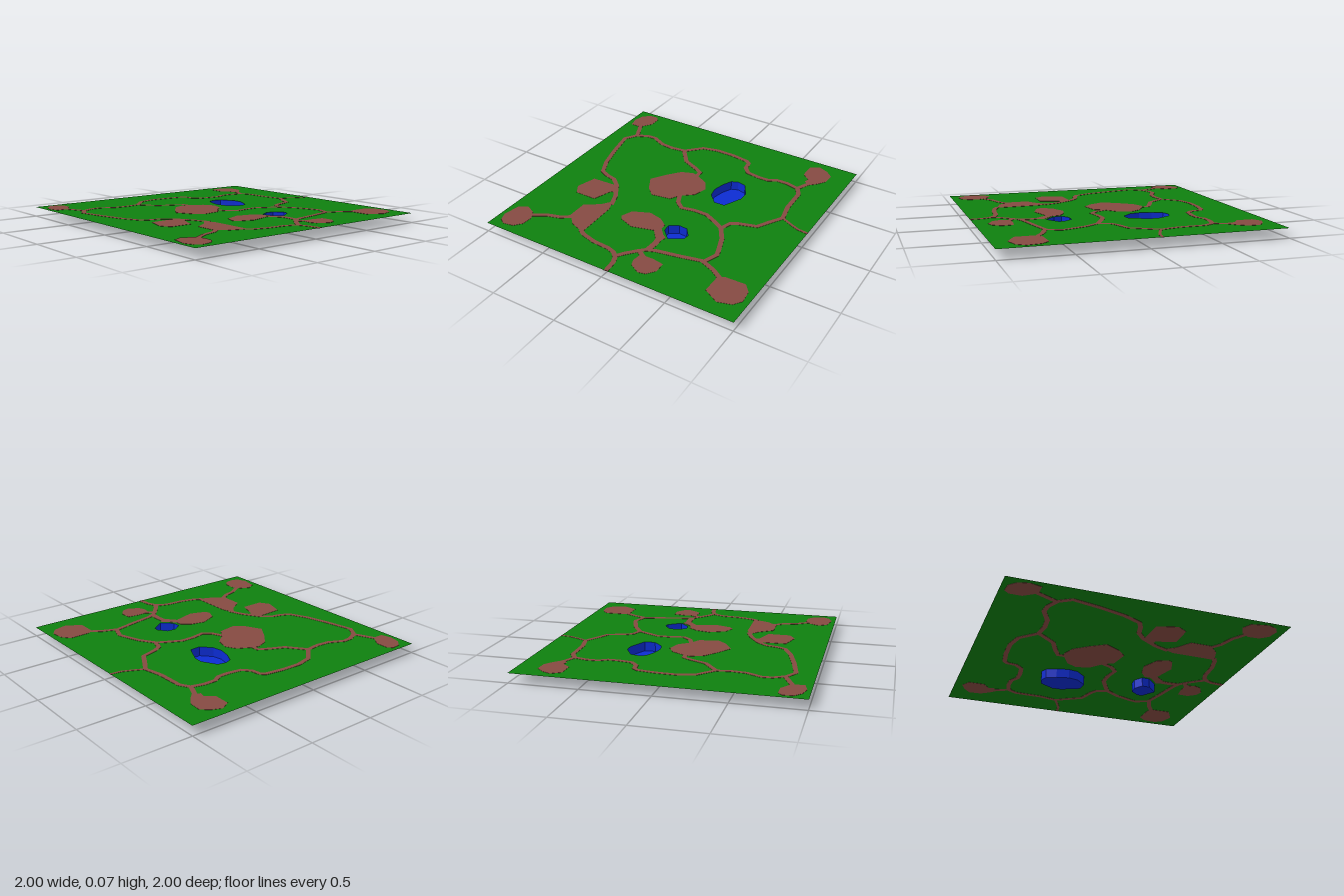
import * as THREE from 'three';

const TOP = 0.07; // ground level
const HALF = 0.0015; // half thickness of the dirt plates

const mat = (name, color) => {
  const m = new THREE.MeshStandardMaterial({ color, side: THREE.DoubleSide, flatShading: true });
  m.name = name;
  return m;
};

// Outlines are lists of [x, z] pairs
const vectors = (pts) => pts.map(([x, z]) => new THREE.Vector2(x, z));

const clearings = {
  northWestClearing: [[-.97, -.83], [-.95, -.91], [-.9, -.96], [-.83, -.965], [-.8, -.93], [-.8, -.84], [-.85, -.77], [-.86, -.75], [-.95, -.75]],
  northEastClearing: [[.65, -.9], [.72, -.94], [.79, -.91], [.845, -.86], [.84, -.77], [.8, -.71], [.75, -.66], [.7, -.69], [.71, -.73], [.65, -.78]],
  centreClearing: [[-.33, -.1], [-.26, -.21], [-.18, -.31], [-.09, -.345], [-.04, -.33], [.06, -.275], [.105, -.195], [.075, -.09], [-.015, -.015], [-.055, .055], [-.2, .08], [-.27, .015]],
  westClearing: [[-.7, .125], [-.5, .115], [-.43, .2], [-.485, .205], [-.535, .35], [-.7, .35], [-.745, .275]],
  southWestFork: [[-.395, .31], [-.36, .4], [-.355, .735], [-.475, .69], [-.555, .61], [-.555, .455], [-.45, .385]],
  southWestClearing: [[-.97, .85], [-.945, .725], [-.88, .69], [-.81, .725], [-.77, .79], [-.775, .875], [-.82, .93], [-.9, .945], [-.945, .915]],
  pondsideClearing: [[-.235, .425], [-.2, .34], [-.075, .285], [.03, .31], [.095, .36], [.1, .42], [.06, .455], [-.1, .5], [-.21, .46]],
  pondsideFork: [[.06, .45], [.1, .41], [.145, .46], [.185, .49], [.165, .54], [.135, .54]],
  southClearing: [[.14, .735], [.235, .73], [.325, .745], [.33, .83], [.285, .89], [.23, .905], [.15, .86], [.13, .81]],
  southEastClearing: [[.7, .67], [.74, .645], [.895, .64], [.945, .7], [.957, .8], [.915, .86], [.815, .89], [.7, .825]],
};

const paths = {
  westPath: [[-.8, -.615], [-.86, -.52], [-.82, -.32], [-.77, -.13], [-.71, 0], [-.65, .03], [-.57, .05], [-.5, .11], [-.42, .24], [-.38, .35]],
  northWestPath: [[-.88, -.79], [-.8, -.61]],
  northPath: [[-.81, -.605], [-.72, -.65], [-.65, -.655], [-.54, -.6], [-.44, -.59], [-.33, -.605], [-.22, -.72], [-.1, -.75], [.05, -.745], [.18, -.725], [.21, -.7], [.22, -.63], [.27, -.575], [.37, -.56], [.45, -.56], [.51, -.595], [.6, -.595], [.7, -.57]],
  northEastPath: [[.75, -.7], [.69, -.57]],
  eastPath: [[.69, -.58], [.735, -.5], [.74, -.3], [.77, -.16], [.71, -.06], [.66, .03], [.53, .07], [.48, .1], [.45, .19]],
  eastExit: [[.76, -.165], [.85, -.12], [.92, -.09], [1, -.08]],
  centreNorthPath: [[-.335, -.605], [-.23, -.47], [-.12, -.42], [-.05, -.38], [-.05, -.31]],
  centreSouthPath: [[-.02, -.03], [.02, .06], [.08, .11], [.18, .09], [.28, .09], [.36, .13], [.45, .18], [.52, .29], [.57, .43], [.58, .47], [.54, .58]],
  southPath: [[.55, .57], [.38, .61], [.2, .645], [.14, .67], [.1, .71], [.04, .78], [0, .84]],
  pondPath: [[.13, .47], [.15, .53], [.155, .58], [.15, .66]],
  southWestPath: [[-.53, .62], [-.6, .67], [-.7, .7], [-.81, .77]],
  southExit: [[-.38, .72], [-.33, .75], [-.22, .78], [-.09, .79], [-.03, .81], [.01, .85], [.03, .9], [.04, 1]],
  southEastPath: [[.53, .575], [.64, .62], [.73, .68]],
  southClearingPath: [[.1, .7], [.19, .76]],
};

const ponds = {
  largePond: [[.22, -.395], [.27, -.415], [.335, -.4], [.395, -.295], [.395, -.225], [.33, -.085], [.25, -.08], [.18, -.155], [.165, -.23], [.185, -.32]],
  smallPond: [[.12, .35], [.185, .31], [.25, .315], [.3, .38], [.295, .42], [.2, .485], [.125, .41]],
};

// Mitred outline of a path of constant width
function ribbon(pts, width) {
  const p = vectors(pts), left = [], right = [];
  p.forEach((q, i) => {
    const a = q.clone().sub(p[Math.max(i - 1, 0)]).normalize();
    const b = p[Math.min(i + 1, p.length - 1)].clone().sub(q).normalize();
    const t = a.add(b).normalize();
    const n = new THREE.Vector2(-t.y, t.x).multiplyScalar(width / 2);
    left.push(q.clone().add(n));
    right.unshift(q.clone().sub(n));
  });
  return left.concat(right);
}

// Dirt plate that shows on both sides of the ground
function plate(outline) {
  const g = new THREE.ExtrudeGeometry(new THREE.Shape(outline), { depth: HALF * 2, bevelEnabled: false });
  return g.rotateX(Math.PI / 2).translate(0, TOP + HALF, 0);
}

// Flat sheet at height y
function sheet(shape, y) {
  return new THREE.ShapeGeometry(shape).rotateX(Math.PI / 2).translate(0, y, 0);
}

// Upright wall following a closed outline
function wall(pts) {
  const pos = [];
  pts.forEach(([x, z], i) => {
    const [u, w] = pts[(i + 1) % pts.length];
    pos.push(x, 0, z, x, TOP, z, u, TOP, w, x, 0, z, u, TOP, w, u, 0, w);
  });
  const g = new THREE.BufferGeometry();
  g.setAttribute('position', new THREE.Float32BufferAttribute(pos, 3));
  g.computeVertexNormals();
  return g;
}

export function createModel() {
  const model = new THREE.Group();
  model.name = 'parkGround';
  const grass = mat('grassGreen', 0x0e800e);
  const dirt = mat('dirtBrown', 0x854a42);
  const water = mat('waterBlue', 0x0c2cd2);

  const add = (name, geometry, material, parent = model) => {
    const mesh = new THREE.Mesh(geometry, material);
    mesh.name = name;
    parent.add(mesh);
  };

  // Lawn with openings for the ponds
  const lawn = new THREE.Shape(vectors([[-1, -1], [1, -1], [1, 1], [-1, 1]]));
  for (const pts of Object.values(ponds)) lawn.holes.push(new THREE.Path(vectors(pts)));
  add('lawn', sheet(lawn, TOP), grass);

  // Clearings and the paths that join them
  for (const [name, pts] of Object.entries(clearings)) add(name, plate(vectors(pts)), dirt);
  for (const [name, pts] of Object.entries(paths)) {
    const width = name === 'pondPath' ? 0.045 : name === 'eastExit' ? 0.02 : 0.034;
    add(name, plate(ribbon(pts, width)), dirt);
  }

  // Sunken ponds
  for (const [name, pts] of Object.entries(ponds)) {
    const pond = new THREE.Group();
    pond.name = name;
    add(name + 'Floor', sheet(new THREE.Shape(vectors(pts)), 0), water, pond);
    add(name + 'Wall', wall(pts), water, pond);
    model.add(pond);
  }
  return model;
}
